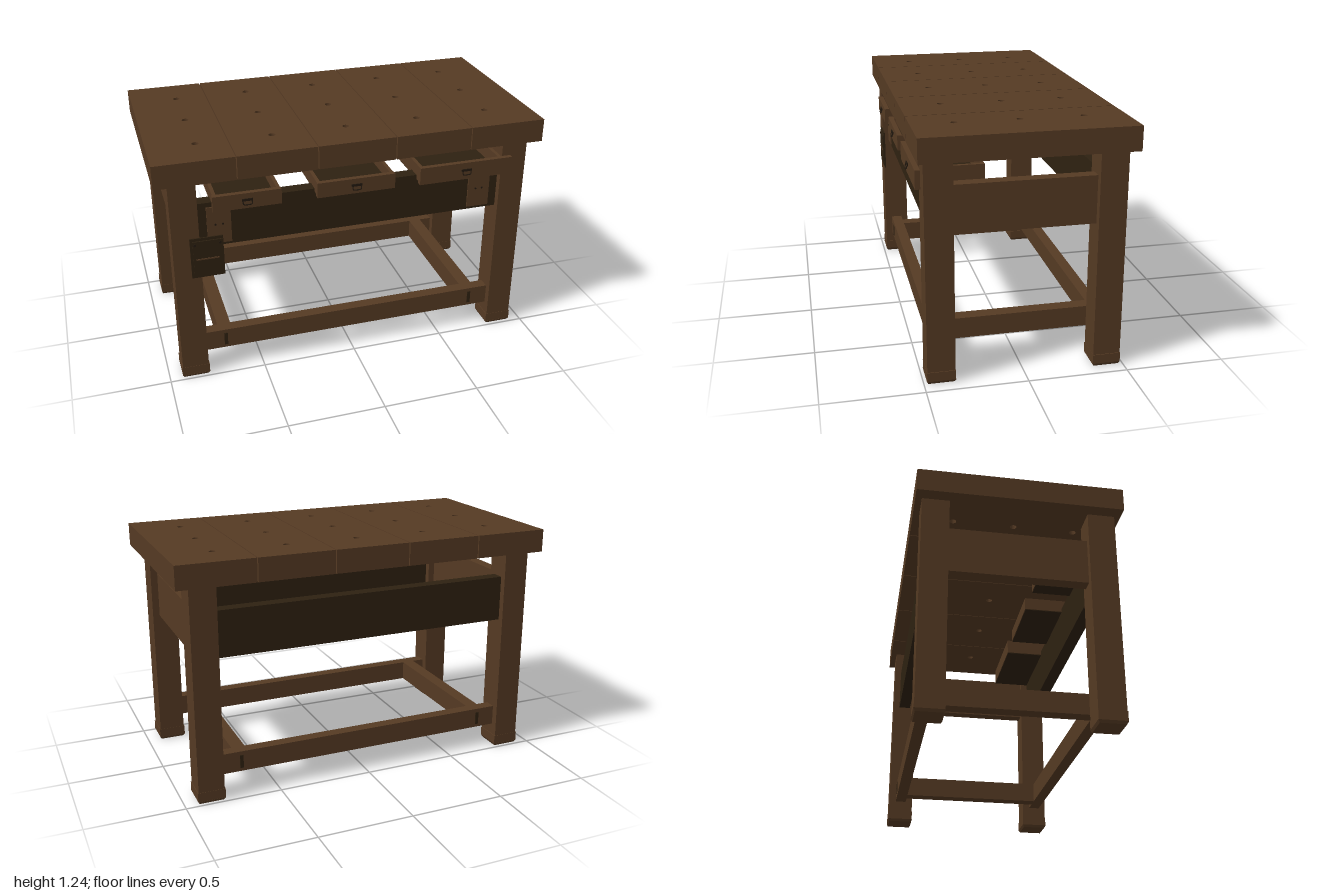
import * as THREE from 'three';

const wood = new THREE.MeshStandardMaterial({ color: 0x553a23 });
wood.name = 'brown wood';
const dark = new THREE.MeshStandardMaterial({ color: 0x2e2111 });
dark.name = 'dark stained wood';
const iron = new THREE.MeshStandardMaterial({ color: 0x22190f });
iron.name = 'blackened iron';

export function createModel() {
  const model = new THREE.Group();
  model.name = 'workbench';

  function add(name, geometry, material, parent = model) {
    const mesh = new THREE.Mesh(geometry, material);
    mesh.name = name;
    parent.add(mesh);
    return mesh;
  }

  // Box given by its limits on each axis
  function box(name, [x0, x1], [y0, y1], [z0, z1], material = wood, parent = model) {
    const mesh = add(name, new THREE.BoxGeometry(x1 - x0, y1 - y0, z1 - z0), material, parent);
    mesh.position.set((x0 + x1) / 2, (y0 + y1) / 2, (z0 + z1) / 2);
    return mesh;
  }

  // Small disc facing the front
  function stud(name, x, y, z, r, parent = model) {
    const g = new THREE.CylinderGeometry(r, r, 0.006, 10).rotateX(Math.PI / 2);
    add(name, g, iron, parent).position.set(x, y, z);
  }

  // Top: five planks, each drilled with three through holes
  for (let i = -2; i <= 2; i++) {
    const x = i * 0.4, w = 0.1975;
    const shape = new THREE.Shape();
    shape.moveTo(x - w, -0.515);
    shape.lineTo(x + w, -0.515);
    shape.lineTo(x + w, 0.515);
    shape.lineTo(x - w, 0.515);
    shape.closePath();
    for (const z of [-0.31, 0, 0.31]) {
      const hole = new THREE.Path();
      hole.absarc(i * 0.38, z, 0.017, 0, Math.PI * 2, true);
      shape.holes.push(hole);
    }
    const g = new THREE.ExtrudeGeometry(shape, { depth: 0.12, bevelEnabled: false, curveSegments: 16 });
    add('topPlank', g.rotateX(-Math.PI / 2), wood).position.y = 1.12;
  }

  // Legs with slightly wider, chamfered feet
  for (const sx of [-1, 1]) for (const sz of [-1, 1]) {
    const leg = new THREE.Group();
    leg.name = 'leg';
    leg.position.set(sx * 0.8625, 0, sz * 0.4145);
    model.add(leg);
    box('legPost', [-0.0675, 0.0675], [0.05, 1.12], [-0.0685, 0.0685], wood, leg);
    box('foot', [-0.0715, 0.0715], [0.014, 0.062], [-0.07, 0.07], wood, leg);
    const tip = new THREE.CylinderGeometry(0.0715 * Math.SQRT2, 0.064 * Math.SQRT2, 0.014, 4, 1)
      .rotateY(Math.PI / 4).toNonIndexed();
    tip.computeVertexNormals();
    add('footChamfer', tip, wood, leg).position.y = 0.007;
  }

  // Aprons and stretchers
  for (const s of [-1, 1]) {
    const z = s * 0.415;
    box('longApron', [-0.797, 0.797], [0.745, 0.985], [z - 0.033, z + 0.033], dark);
    box('longStretcher', [-0.797, 0.797], [0.122, 0.23], [z - 0.03, z + 0.03]);
    const x = s * 0.8625;
    box('sideApron', [x - 0.031, x + 0.031], [0.745, 0.985], [-0.347, 0.347]);
    box('sideStretcher', [s * 0.69 - 0.035, s * 0.69 + 0.035], [0.122, 0.23], [-0.386, 0.386]);
    // Tenon ends showing on the long stretchers
    for (const t of [-1, 1]) {
      box('tenonEnd', [s * 0.69 - 0.009, s * 0.69 + 0.009], [0.14, 0.21],
        [t * 0.446 - 0.003, t * 0.446 + 0.003], dark);
    }
    // Bracket plate with two pegs on the front apron
    box('bracketPlate', [s * 0.69 - 0.06, s * 0.69 + 0.06], [0.76, 0.96], [0.446, 0.455]);
    for (const d of [-0.018, 0.018]) stud('peg', s * 0.69 + d, 0.865, 0.456, 0.005);
  }

  // Open drawers: front board, three walls, thin floor and a bail pull
  function drawer(x0, x1, y0, y1, inner0, inner1) {
    const d = new THREE.Group();
    d.name = 'drawer';
    model.add(d);
    const y = [y0 + 0.008, y1 - 0.003], t = 0.018;
    box('drawerFront', [x0, x1], [y0, y1], [0.482, 0.508], wood, d);
    box('drawerBack', [inner0, inner1], y, [0.173, 0.173 + t], wood, d);
    box('drawerSide', [inner0, inner0 + t], y, [0.173, 0.482], wood, d);
    box('drawerSide', [inner1 - t, inner1], y, [0.173, 0.482], wood, d);
    box('drawerFloor', [inner0 + 0.002, inner1 - 0.002], [y0 + 0.004, y0 + 0.02], [0.175, 0.482], dark, d);
    const cx = (x0 + x1) / 2, cy = (y0 + y1) / 2;
    box('pullPlate', [cx - 0.027, cx + 0.027], [cy, cy + 0.012], [0.508, 0.513], iron, d);
    const path = new THREE.CatmullRomCurve3([
      [-0.022, 0.004, 0.511], [-0.021, -0.014, 0.516], [0, -0.017, 0.518],
      [0.021, -0.014, 0.516], [0.022, 0.004, 0.511],
    ].map(([px, py, pz]) => new THREE.Vector3(cx + px, cy + py, pz)));
    add('pullBail', new THREE.TubeGeometry(path, 16, 0.003, 6), iron, d);
  }
  drawer(-0.725, -0.385, 0.96, 1.04, -0.72, -0.387);
  drawer(-0.205, 0.2, 0.96, 1.04, -0.203, 0.198);
  drawer(0.335, 0.84, 0.955, 1.047, 0.338, 0.793);

  // Tool holder plate fixed to the front of one leg
  const holder = new THREE.Group();
  holder.name = 'toolHolder';
  model.add(holder);
  box('holderPlate', [-0.845, -0.68], [0.6, 0.82], [0.483, 0.49], dark, holder);
  box('holderFace', [-0.832, -0.683], [0.615, 0.805], [0.49, 0.496], dark, holder);
  box('holderLip', [-0.82, -0.705], [0.702, 0.709], [0.496, 0.499], wood, holder);
  for (const x of [-0.822, -0.697]) stud('holderScrew', x, 0.787, 0.496, 0.007, holder);

  return model;
}
